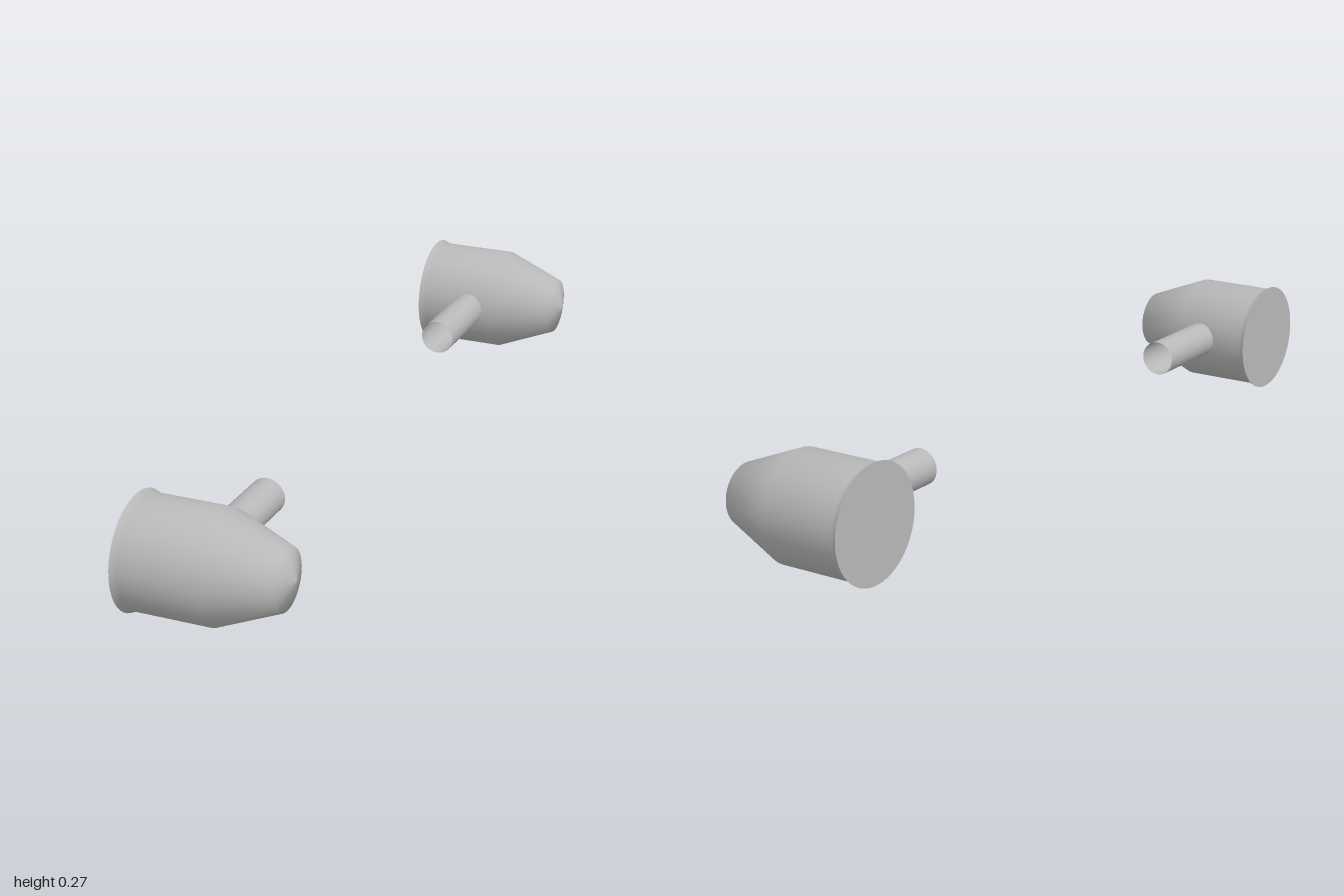
import * as THREE from 'three';

export function createModel() {
  const model = new THREE.Group();
  const grey = new THREE.MeshStandardMaterial({ color: 0xb8b8b8 });
  const greyOpen = grey.clone();
  greyOpen.side = THREE.DoubleSide;
  grey.name = 'grey';
  greyOpen.name = 'greyOpenTube';

  const axisY = 0.136;
  // Shell profile: radius, distance along x from flared rim to pointed nose
  const profile = [
    [0.136, -0.184], [0.129, -0.168], [0.129, 0.018], [0.071, 0.163], [0, 0.184],
  ].map(([r, x]) => new THREE.Vector2(r, x));

  const shellGeometry = new THREE.LatheGeometry(profile, 48).rotateZ(-Math.PI / 2);
  const backGeometry = new THREE.CircleGeometry(0.136, 48).rotateY(-Math.PI / 2).translate(-0.184, 0, 0);
  const rodGeometry = new THREE.CylinderGeometry(0.043, 0.043, 0.225, 32, 1, true).rotateX(Math.PI / 2);

  const add = (group, name, geometry, material) => {
    const mesh = new THREE.Mesh(geometry, material);
    mesh.name = name;
    group.add(mesh);
    return mesh;
  };

  // Mirrored pair, each with an open rod pointing inward
  for (const side of [-1, 1]) {
    const pod = new THREE.Group();
    pod.name = side > 0 ? 'frontPod' : 'rearPod';
    pod.position.set(0, axisY, side * 0.864);
    add(pod, 'shell', shellGeometry, grey);
    add(pod, 'backPlate', backGeometry, grey);
    add(pod, 'rod', rodGeometry, greyOpen).position.set(-0.047, 0.002, -side * 0.2335);
    model.add(pod);
  }
  return model;
}
